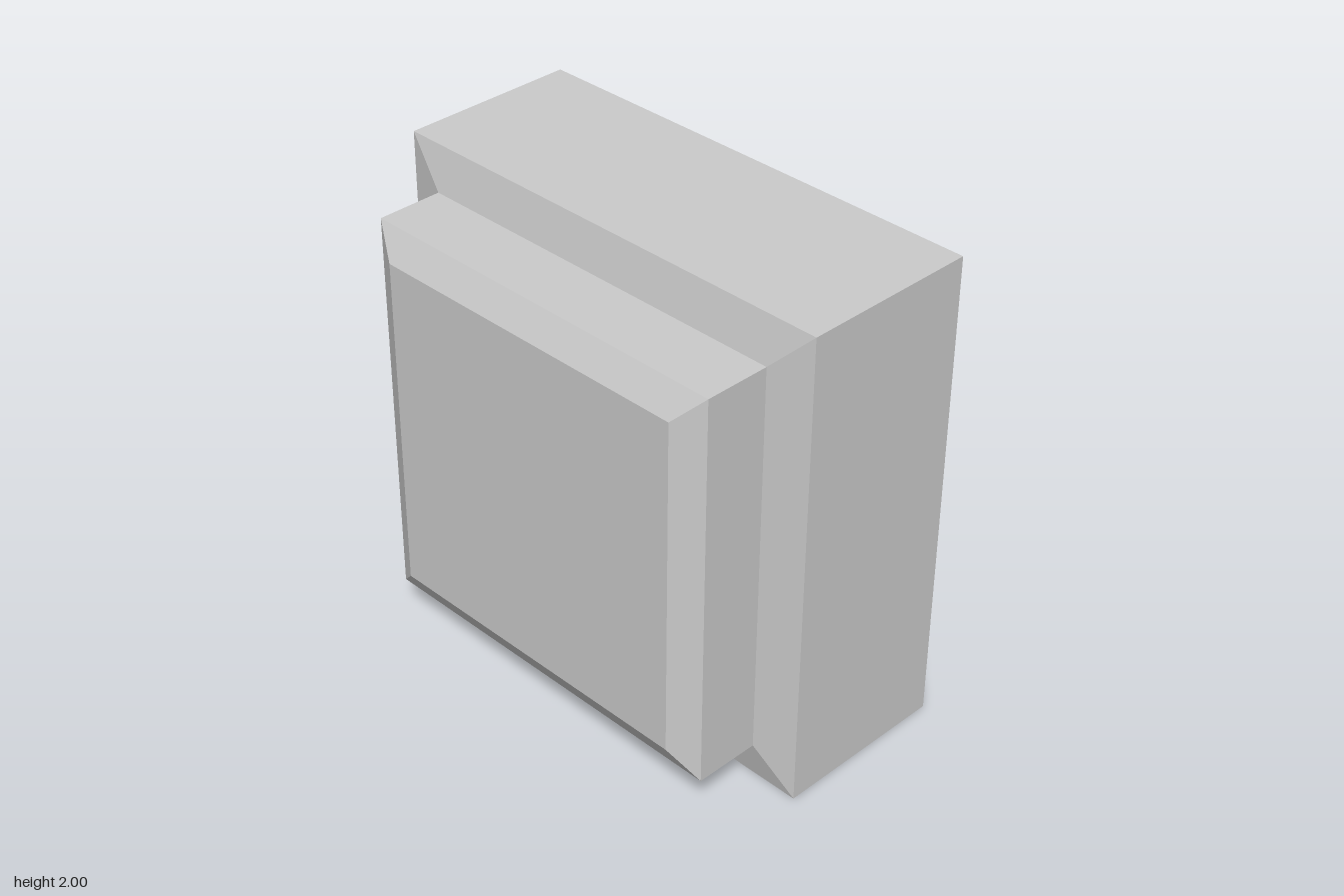
import * as THREE from 'three';

const material = new THREE.MeshStandardMaterial({ color: 0xcccccc, flatShading: true });

// Square-sectioned solid along z from [half width, z] pairs, back to front
function squareLoft(name, profile) {
  const points = profile.map(([half, z]) => new THREE.Vector2(half * Math.SQRT2, z));
  const geometry = new THREE.LatheGeometry(points, 4, Math.PI / 4).rotateX(Math.PI / 2);
  const mesh = new THREE.Mesh(geometry, material);
  mesh.name = name;
  mesh.position.y = 1;
  return mesh;
}

export function createModel() {
  const group = new THREE.Group();
  group.name = 'panelBlock';

  // Block with a flat back and a shallow sloped border at the front
  group.add(squareLoft('body', [[0, -0.557], [1, -0.557], [1, 0.18], [0.826, 0.22]]));

  // Raised front panel with a bevelled edge
  group.add(squareLoft('frontPanel', [[0.826, 0.22], [0.826, 0.493], [0.71, 0.557], [0, 0.557]]));

  return group;
}
